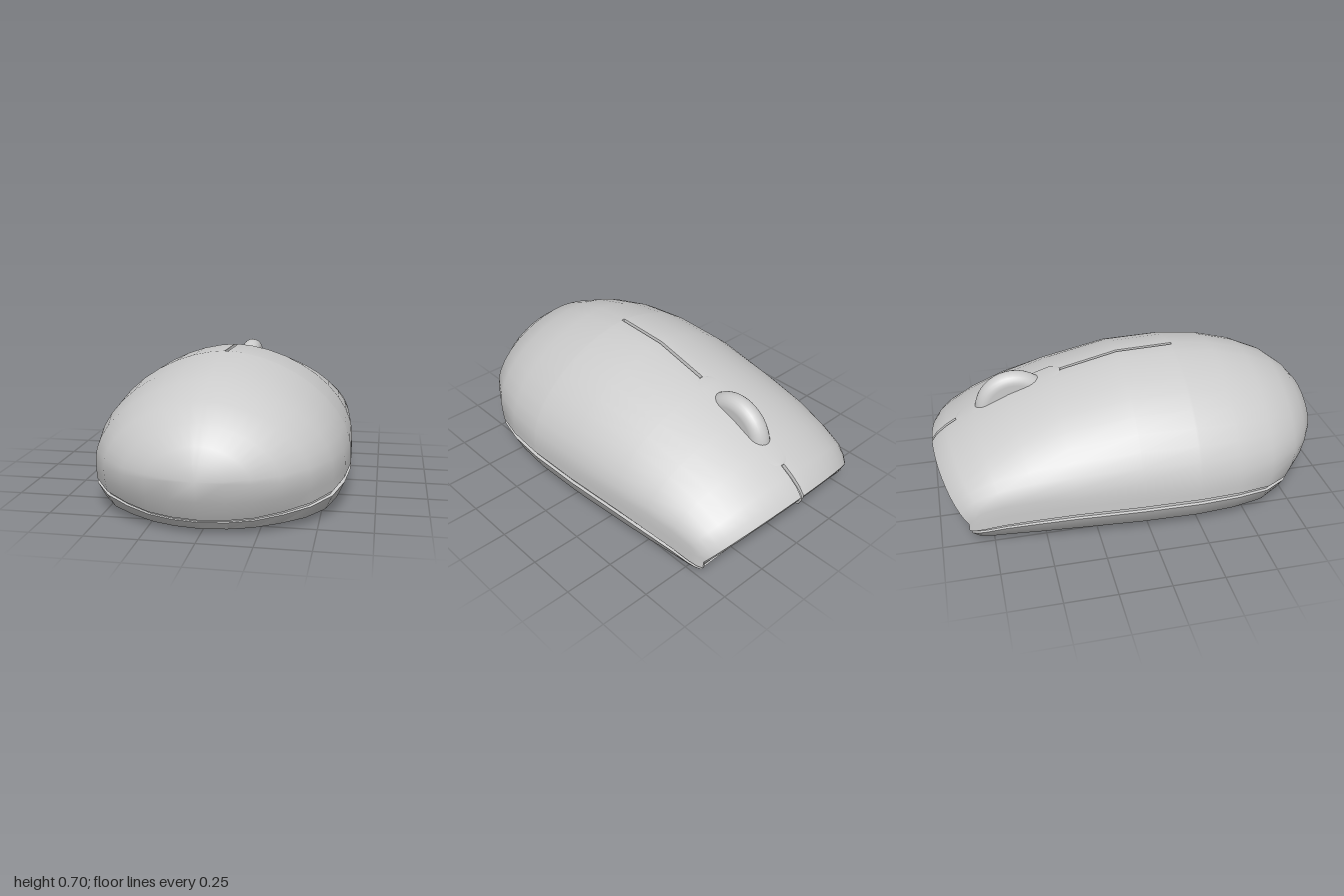
import * as THREE from 'three';
import { toCreasedNormals } from 'three/addons/utils/BufferGeometryUtils.js';

const material = new THREE.MeshStandardMaterial({ color: 0xcccccc, side: THREE.DoubleSide });

// Stations from nose to palm: [apex z, waist z, top y, waist y, half width, seam y]
const STATIONS = [
  [-0.955, -0.83, 0.255, 0.10, 0.48, 0.085],
  [-0.985, -0.86, 0.265, 0.10, 0.49, 0.08],
  [-1.00, -0.865, 0.295, 0.12, 0.505, 0.083],
  [-0.97, -0.84, 0.335, 0.15, 0.52, 0.088],
  [-0.92, -0.80, 0.375, 0.19, 0.53, 0.095],
  [-0.78, -0.70, 0.46, 0.22, 0.545, 0.115],
  [-0.60, -0.55, 0.54, 0.24, 0.567, 0.135],
  [-0.38, -0.36, 0.615, 0.24, 0.587, 0.15],
  [-0.04, -0.04, 0.695, 0.24, 0.613, 0.16],
  [0.24, 0.24, 0.705, 0.23, 0.62, 0.163],
  [0.25, 0.25, 0.704, 0.23, 0.62, 0.163],
  [0.45, 0.45, 0.683, 0.23, 0.602, 0.157],
  [0.63, 0.63, 0.635, 0.24, 0.557, 0.14],
  [0.78, 0.78, 0.57, 0.25, 0.47, 0.12],
  [0.88, 0.88, 0.495, 0.25, 0.355, 0.10],
  [0.95, 0.95, 0.415, 0.26, 0.235, 0.085],
  [0.985, 0.985, 0.345, 0.265, 0.125, 0.08],
  [1.00, 1.00, 0.27, 0.27, 0, 0.078],
];
const POWER = 1.8; // roundness of the arch
const SPLIT = [0.009, 0.006]; // half widths of the button split, top and floor

// Surface through rows of points; it faces (along row) x (row to row)
function grid(rows) {
  const n = rows[0].length, index = [];
  for (let r = 0; r < rows.length - 1; r++) {
    for (let c = 0; c < n - 1; c++) {
      const a = r * n + c, b = a + n;
      index.push(a, a + 1, b, a + 1, b + 1, b);
    }
  }
  const geo = new THREE.BufferGeometry();
  geo.setAttribute('position', new THREE.Float32BufferAttribute(rows.flat(2), 3));
  geo.setIndex(index);
  return toCreasedNormals(geo, 0.7);
}

const mirrored = (half) => [...half, ...half.map(([x, y, z]) => [-x, y, z]).reverse()];

function part(name, geo) {
  const mesh = new THREE.Mesh(geo, material);
  mesh.name = name;
  return mesh;
}

// Lower edge of the shell, tucked in at the palm end
function foot([, zw, , , w, s]) {
  return [w, s, zw - 0.07 * THREE.MathUtils.smoothstep(zw, 0.5, 1)];
}

// Half of an arch from waist to centre line
function halfArch([za, zw, top, waist, w], depth) {
  const at = (x, drop = 0) => {
    x = Math.min(x, w);
    const h = w > 0 ? Math.pow(Math.max(0, 1 - Math.pow(x / w, POWER)), 1 / POWER) : 0;
    return [x, waist + (top - waist) * h - drop, zw + (za - zw) * h];
  };
  const pts = [];
  for (let i = 0; i < 10; i++) pts.push(at(w * Math.pow(Math.cos(i * Math.PI / 20), 2 / POWER)));
  pts.push(at(SPLIT[0]), at(SPLIT[1], depth));
  return pts;
}

function shellRow(st) {
  const [x, y, z] = foot(st);
  const zw = st[1];
  const depth = zw < 0.245 ? 0.02 : 0;
  return mirrored([
    [x * 0.975, y, z * 0.985],
    [x, y, z],
    [x, (y + st[3]) / 2, zw + (z - zw) * 0.3],
    ...halfArch(st, depth),
  ]);
}

// Seam groove, then the base side curving under to the flat bottom
function halfBase(st) {
  const [x, y, z] = foot(st);
  const under = z * (z > 0 ? 0.865 : 0.92);
  return [
    [x * 0.975, y, z * 0.985],
    [x * 0.975, y * 0.85, z * 0.98],
    [x, y * 0.83, z * 0.99],
    [x * 0.94, y * 0.3, z * 0.955],
    [x * 0.85, 0.006, under],
    [x * 0.8, 0, under * 0.97],
  ];
}

// Height of the shell's centre line
function topAt(z) {
  for (let i = 3; i < STATIONS.length; i++) {
    const a = STATIONS[i - 1], b = STATIONS[i];
    if (z <= b[0]) return a[2] + (b[2] - a[2]) * (z - a[0]) / (b[0] - a[0]);
  }
  return 0;
}

export function createModel() {
  const group = new THREE.Group();
  group.name = 'computerMouse';

  group.add(part('upperShell', grid(STATIONS.map(shellRow))));
  const lower = STATIONS.slice(1);
  group.add(part('base', grid(lower.map((st) => mirrored(halfBase(st)).reverse()))));

  // Slanted nose plate under the shell's lip
  const edge = mirrored([
    ...halfBase(lower[0]).reverse(),
    ...halfArch([-0.967, -0.843, 0.256, 0.10, 0.482], 0),
  ]).reverse();
  edge.push(edge[0]);
  group.add(part('nosePlate', grid([edge, edge.map(() => [0, 0.12, -0.872])])));

  // Rounded inlay around the wheel, following the shell
  const inlay = [], mid = -0.6, half = 0.27, radius = 0.058;
  for (let i = 0; i <= 32; i++) {
    const z = mid - half * Math.cos(i * Math.PI / 32);
    const over = Math.max(0, Math.abs(z - mid) - (half - radius));
    const x = Math.sqrt(Math.max(0, radius * radius - over * over));
    const y = topAt(z) + 0.003;
    inlay.push([[x, y - 0.003, z], [x * 0.5, y, z], [-x * 0.5, y, z], [-x, y - 0.003, z]]);
  }
  group.add(part('wheelInlay', grid(inlay)));

  // Scroll wheel with a rounded rim
  const profile = [new THREE.Vector2(0, -0.053)];
  for (let i = 0; i <= 12; i++) {
    const a = -Math.PI / 2 + i * Math.PI / 12;
    profile.push(new THREE.Vector2(0.145 + 0.055 * Math.cos(a), 0.053 * Math.sin(a)));
  }
  profile.push(new THREE.Vector2(0, 0.053));
  const wheel = part('scrollWheel', new THREE.LatheGeometry(profile, 40));
  wheel.rotation.z = Math.PI / 2;
  wheel.position.set(0, 0.44, -0.57);
  group.add(wheel);

  return group;
}
